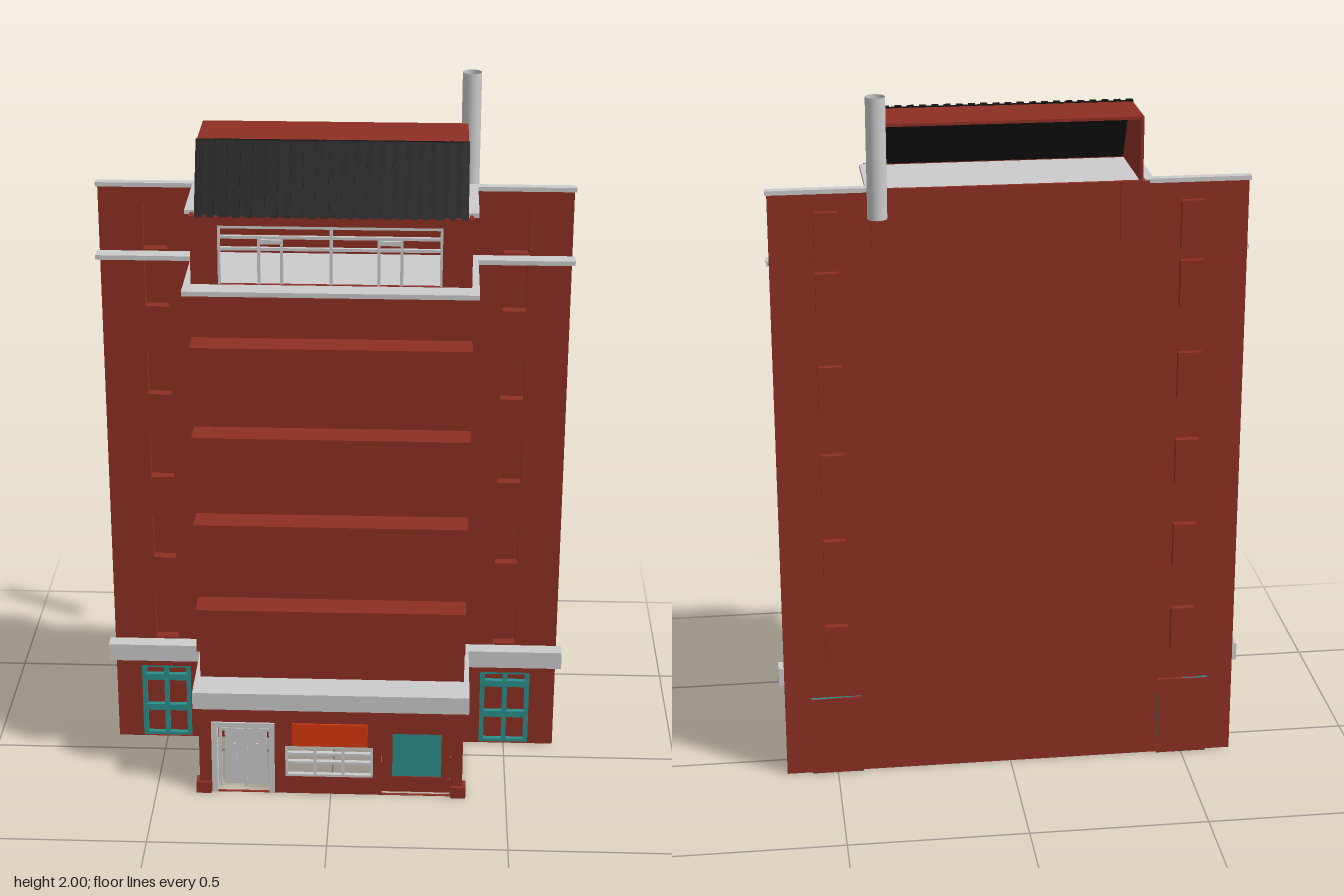
import * as THREE from 'three';

const mat = (color) => new THREE.MeshStandardMaterial({ color, side: THREE.DoubleSide });

export function createModel() {
  const root = new THREE.Group();
  const brick = mat(0x8e2f24), grey = mat(0xcccccc), teal = mat(0x2a8f8b);
  const orange = mat(0xd8380f), black = mat(0x161616);

  const add = (name, geometry, material, parent = root) => {
    const mesh = new THREE.Mesh(geometry, material);
    mesh.name = name;
    parent.add(mesh);
    return mesh;
  };
  const group = (name) => {
    const g = new THREE.Group();
    g.name = name;
    root.add(g);
    return g;
  };
  // Box given by its limits on each axis
  const boxGeo = (x0, x1, y0, y1, z0, z1) =>
    new THREE.BoxGeometry(x1 - x0, y1 - y0, z1 - z0)
      .translate((x0 + x1) / 2, (y0 + y1) / 2, (z0 + z1) / 2);
  const box = (name, m, parent, ...b) => add(name, boxGeo(...b), m, parent);
  // Box without its front face, used as a recess
  const recess = (name, parent, ...b) => {
    const g = boxGeo(...b);
    g.setIndex([...g.index.array].filter((_, i) => i < 24 || i >= 30));
    g.clearGroups();
    return add(name, g, brick, parent);
  };
  const polygon = (pts) => new THREE.Shape(pts.map((p) => new THREE.Vector2(...p)));
  const rect = (x0, x1, y0, y1) => polygon([[x0, y0], [x1, y0], [x1, y1], [x0, y1]]);
  // Upright wall facing +z with rectangular openings
  const wall = (name, parent, outline, openings, z0, z1) => {
    const s = rect(...outline);
    s.holes = openings.map((o) => rect(...o));
    const g = new THREE.ExtrudeGeometry(s, { depth: z1 - z0, bevelEnabled: false });
    return add(name, g.translate(0, 0, z0), brick, parent);
  };
  // Profile of [z, y] points extruded across x
  const across = (pts, x0, x1) =>
    new THREE.ExtrudeGeometry(polygon(pts), { depth: x1 - x0, bevelEnabled: false })
      .rotateY(-Math.PI / 2).translate(x1, 0, 0);

  // Main block with stepped balcony bands
  const profile = [[-0.08, 0.28], [0.15, 0.28]];
  for (let i = 0; i < 4; i++) {
    const y = 0.455 + i * 0.26;
    profile.push([0.15, y], [0.23, y], [0.23, y + 0.13], [0.15, y + 0.13]);
  }
  profile.push([0.15, 1.505], [0.23, 1.505], [0.23, 1.52], [-0.08, 1.52]);
  add('balconyBlock', across(profile, -0.375, 0.375), brick);
  box('backWall', brick, root, -0.375, 0.375, 0, 1.72, -0.085, -0.075);

  // Side wings: thin walls with recessed windows and a glazed door each
  const sills = [0.335, 0.595, 0.85, 1.105, 1.368, 1.535];
  for (const s of [1, -1]) {
    const wing = group(s > 0 ? 'leftWing' : 'rightWing');
    const span = (a, b) => (s > 0 ? [a, b] : [-b, -a]);
    const windows = sills.map((y) => [...span(0.46, 0.525), y, y + 0.131]);
    const door = [...span(0.427, 0.572), 0.002, 0.238];
    wall('wingWall', wing, [...span(0.37, 0.645), 0, 1.72], [...windows, door], -0.085, -0.075);
    windows.forEach((w) => recess('windowRecess', wing, ...w, -0.104, -0.076));
    recess('doorRecess', wing, ...door, -0.096, -0.076);
    for (const x of [0.434, 0.5, 0.565])
      box('doorPost', teal, wing, ...span(x - 0.007, x + 0.007), 0, 0.238, -0.094, -0.08);
    for (const [y, h] of [[0.234, 0.008], [0.197, 0.02], [0.095, 0.02], [0.006, 0.01]])
      box('doorRail', teal, wing, ...span(0.427, 0.572), y - h / 2, y + h / 2, -0.094, -0.079);

    // Ledges and coping wrapping the wing and the side of the block
    box('lowerLedge', grey, wing, ...span(0.37, 0.66), 0.278, 0.33, -0.074, -0.03);
    box('lowerLedgeSide', grey, wing, ...span(0.37, 0.39), 0.278, 0.33, -0.065, 0.245);
    box('upperLedge', grey, wing, ...span(0.37, 0.652), 1.517, 1.53, -0.074, -0.03);
    box('wingCoping', grey, wing, ...span(0.36, 0.65), 1.714, 1.726, -0.09, -0.065);
    box('sideCoping', grey, wing, ...span(0.355, 0.385), 1.714, 1.726, -0.07, 0.165);

    // Ground floor side wall and corner plinth
    box('groundSideWall', brick, wing, ...span(0.365, 0.375), 0, 0.28, -0.08, 0.23);
    box('plinth', brick, wing, ...span(0.342, 0.385), 0, 0.035, 0.2, 0.24);

    // Penthouse side wall, corner posts and gable
    box('penthouseSide', brick, wing, ...span(0.36, 0.37), 1.53, 1.72, -0.08, 0.19);
    box('frontCornerPost', brick, wing, ...span(0.295, 0.372), 1.7, 1.72, 0.18, 0.198);
    box('backCornerPost', brick, wing, ...span(0.295, 0.372), 1.56, 1.722, -0.093, -0.08);
    add('roofGable', across([[-0.088, 1.72], [0.19, 1.72], [0.1, 1.895], [-0.088, 1.895]],
      ...span(0.347, 0.355)), brick, wing);
  }
  box('lowerLedgeFront', grey, root, -0.39, 0.39, 0.278, 0.33, 0.14, 0.245);
  box('upperLedgeFront', grey, root, -0.39, 0.39, 1.517, 1.53, -0.07, 0.25);

  // Ground floor front with entrance, barred window and display bay
  const ground = group('groundFloorFront');
  wall('groundFrontWall', ground, [-0.375, 0.375, 0, 0.28],
    [[-0.34, -0.16, 0.001, 0.23], [-0.13, 0.12, 0.055, 0.155], [0.145, 0.34, 0.001, 0.23]], 0.22, 0.23);
  for (const x of [-0.332, -0.168])
    box('entrancePost', grey, ground, x - 0.008, x + 0.008, 0, 0.226, 0.19, 0.232);
  box('entranceLintel', grey, ground, -0.34, -0.16, 0.212, 0.228, 0.19, 0.232);
  for (const x of [-0.277, -0.213]) {
    box('entranceDoor', grey, ground, x - 0.028, x + 0.028, 0.005, 0.18, 0.185, 0.192);
    box('doorHandle', grey, ground, x - 0.004, x + 0.004, 0.06, 0.14, 0.192, 0.197);
  }
  for (const x of [-0.318, -0.245, -0.172])
    box('entranceMullion', grey, ground, x - 0.004, x + 0.004, 0, 0.21, 0.184, 0.195);
  for (const y of [0.185, 0.2])
    box('entranceRail', grey, ground, -0.32, -0.17, y - 0.004, y + 0.004, 0.184, 0.195);
  box('signPanel', orange, ground, -0.11, 0.105, 0.158, 0.23, 0.225, 0.235);
  for (const x of [-0.127, -0.045, 0.035, 0.117])
    box('windowBar', grey, ground, x - 0.004, x + 0.004, 0.055, 0.155, 0.215, 0.228);
  for (const y of [0.058, 0.1, 0.128, 0.152])
    box('windowRail', grey, ground, -0.13, 0.12, y - 0.004, y + 0.004, 0.215, 0.228);
  wall('displayBay', ground, [0.145, 0.34, 0, 0.23], [[0.175, 0.315, 0.05, 0.19]], 0.2, 0.21);
  box('displayPane', teal, ground, 0.175, 0.315, 0.05, 0.19, 0.202, 0.207);

  // Penthouse front with glazing bars
  const penthouse = group('penthouse');
  wall('penthouseFront', penthouse, [-0.37, 0.37, 1.53, 1.72], [[-0.298, 0.292, 1.531, 1.692]], 0.18, 0.19);
  for (const [x, top] of [[-0.295, 1.69], [-0.19, 1.66], [-0.13, 1.66], [0, 1.69], [0.125, 1.66], [0.185, 1.66], [0.289, 1.69]])
    box('glazingPost', grey, penthouse, x - 0.004, x + 0.004, 1.53, top, 0.178, 0.188);
  for (const y of [1.688, 1.66, 1.628])
    box('glazingRail', grey, penthouse, -0.298, 0.292, y - 0.004, y + 0.004, 0.178, 0.188);
  for (const x of [-0.16, 0.155])
    box('doorHead', grey, penthouse, x - 0.033, x + 0.033, 1.642, 1.654, 0.178, 0.19);
  box('roofDeck', grey, penthouse, -0.36, 0.36, 1.708, 1.718, -0.078, 0.188);

  // Roof box, open at the back, with a ribbed sloping front
  box('roofTop', brick, penthouse, -0.355, 0.355, 1.887, 1.895, -0.088, 0.1);
  add('roofSlope', across([[0.182, 1.718], [0.192, 1.718], [0.1, 1.897], [0.09, 1.897]], -0.357, 0.357), black, penthouse);
  const ribs = 22;
  for (let i = 0; i < ribs; i++) {
    const x = -0.347 + (0.694 * i) / (ribs - 1);
    add('roofRib', across([[0.188, 1.714], [0.202, 1.718], [0.108, 1.899], [0.096, 1.899]],
      x - 0.009, x + 0.009), black, penthouse);
  }

  // Free-standing flue pipe behind the building
  add('fluePipe', new THREE.CylinderGeometry(0.026, 0.026, 0.32, 20, 1, true), grey)
    .position.set(0.365, 1.84, -0.222);

  return root;
}
